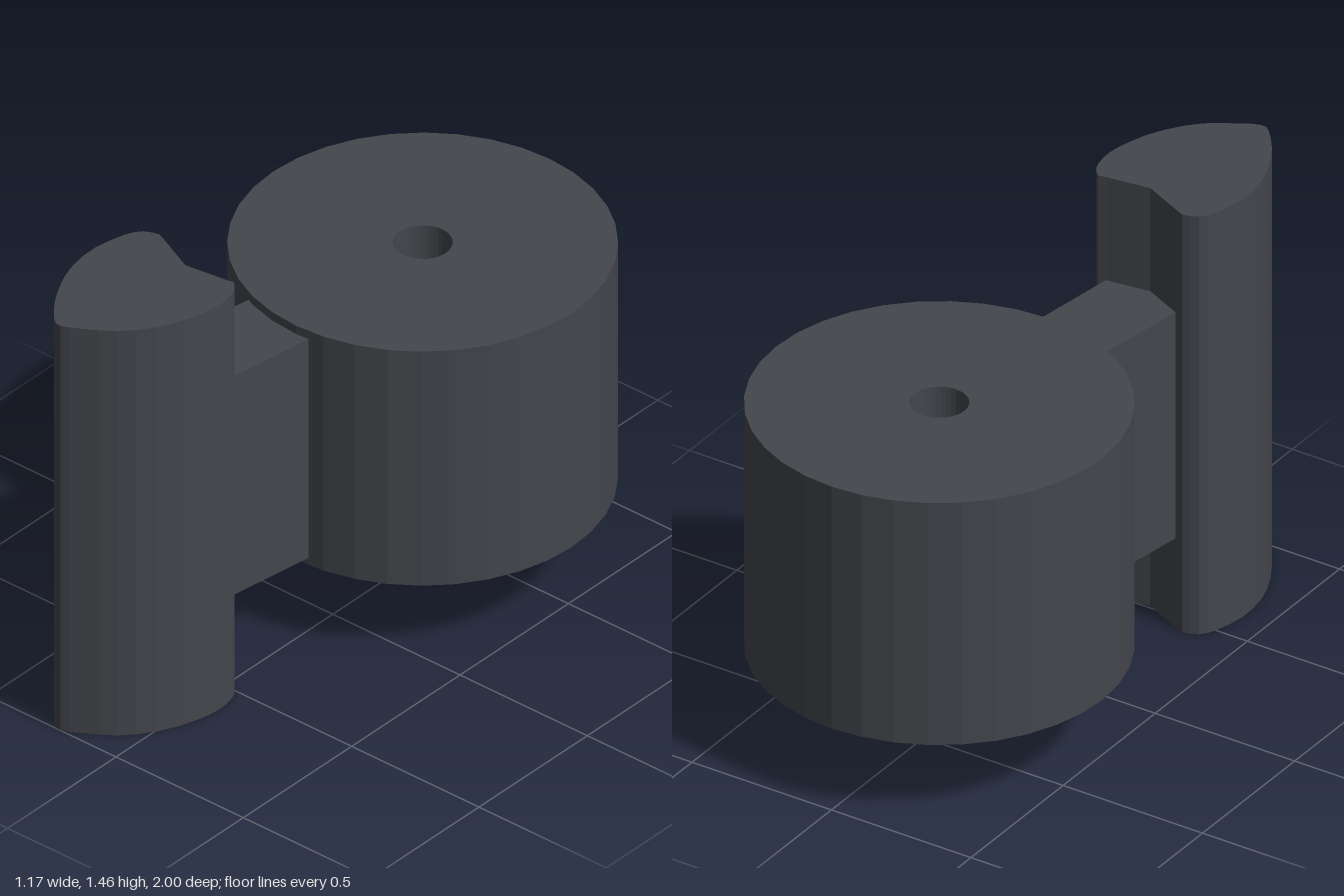
import * as THREE from 'three';

const material = new THREE.MeshStandardMaterial({ color: 0x43464c });

// Raise a plan outline, drawn as (x, -z), from y0 to y1
function prism(name, shape, y0, y1, curveSegments) {
  const geometry = new THREE.ExtrudeGeometry(shape, { depth: y1 - y0, bevelEnabled: false, curveSegments });
  geometry.rotateX(-Math.PI / 2).translate(0, y0, 0);
  const mesh = new THREE.Mesh(geometry, material);
  mesh.name = name;
  return mesh;
}

const plan = (points) => points.map(([x, z]) => new THREE.Vector2(x, -z));

export function createModel() {
  const group = new THREE.Group();
  group.name = 'knob';

  // Round drum with a bore through its axis
  const disc = new THREE.Shape().absarc(0, 0.415, 0.585, 0, Math.PI * 2);
  disc.holes.push(new THREE.Path().absarc(0, 0.415, 0.09, 0, Math.PI * 2, true));
  group.add(prism('drum', disc, 0.285, 1.13, 18));

  // Slanted arm joining drum and grip
  const arm = new THREE.Shape(plan([[-0.215, 0.05], [0.063, 0.05], [0, 0.495], [-0.145, 0.515], [-0.276, 0.45]]));
  group.add(prism('arm', arm, 0.31, 1.1, 1));

  // Tall grip: rounded teardrop with a shallow notch where the arm meets it
  const grip = new THREE.Shape();
  grip.moveTo(-0.31, 0.435 * -1);
  for (const p of plan([[-0.275, 0.45], [-0.145, 0.51], [0, 0.49], [0.025, 0.485]])) grip.lineTo(p.x, p.y);
  grip.splineThru(plan([
    [0.055, 0.52], [0.07, 0.59], [0.062, 0.67], [0.02, 0.79], [-0.06, 0.9], [-0.155, 0.965], [-0.22, 0.998],
    [-0.26, 0.98], [-0.33, 0.89], [-0.39, 0.765], [-0.412, 0.635], [-0.392, 0.515], [-0.36, 0.455], [-0.31, 0.435],
  ]));
  group.add(prism('grip', grip, 0, 1.46, 2));

  return group;
}
